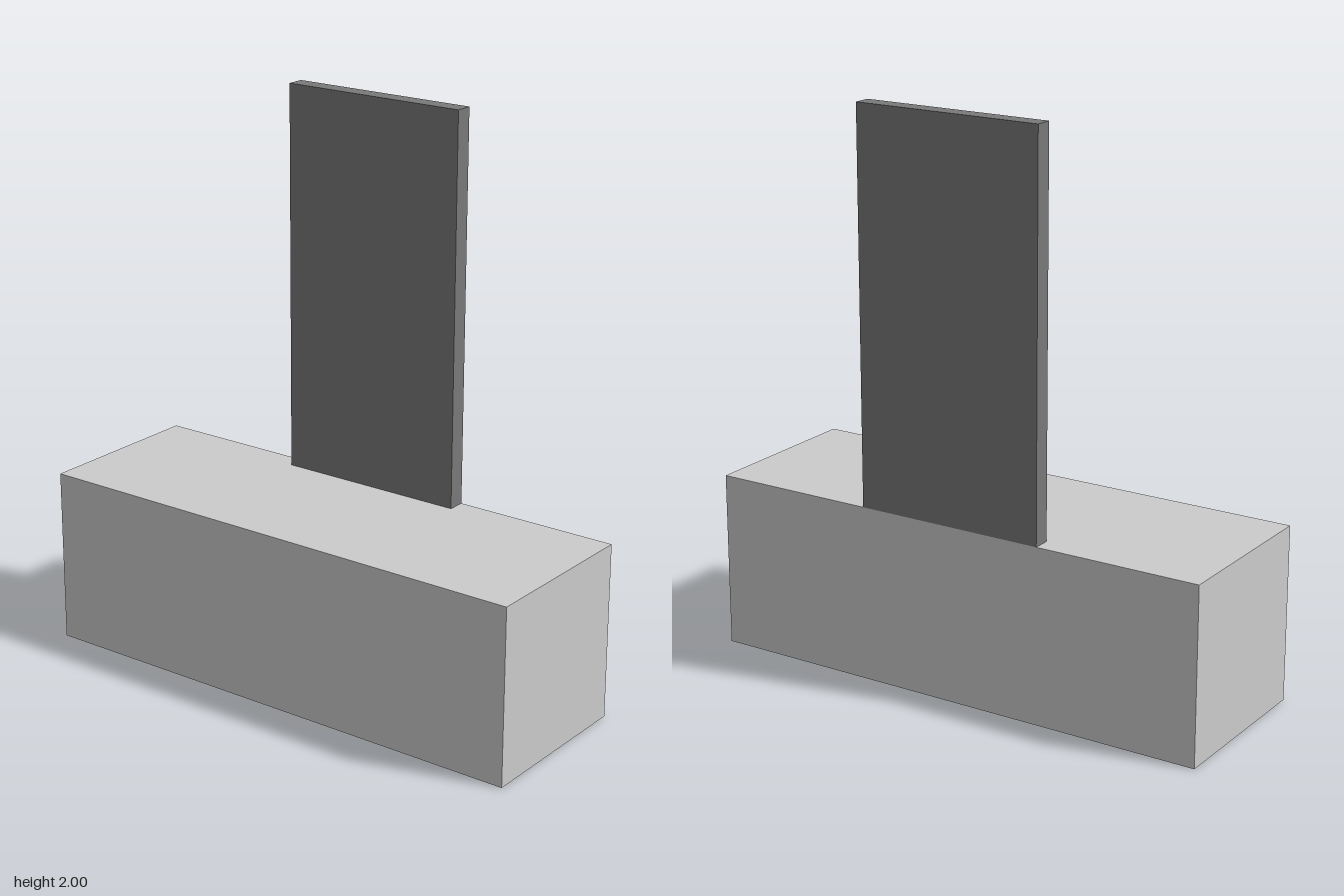
import * as THREE from 'three';

// Box standing on a given height
function block(name, color, [w, h, d], x, bottom) {
  const mesh = new THREE.Mesh(
    new THREE.BoxGeometry(w, h, d),
    new THREE.MeshStandardMaterial({ color })
  );
  mesh.name = name;
  mesh.position.set(x, bottom + h / 2, 0);
  return mesh;
}

export function createModel() {
  const W = 0.625, H = 0.625, L = 1.875; // base block
  const T = 0.0625;                      // panel thickness
  const group = new THREE.Group();
  group.name = 'blockWithPanel';

  // Long block on the ground
  group.add(block('base', 0xcccccc, [W, H, L], 0, 0));

  // Dark upright panel, flush with the left face of the base
  group.add(block('uprightPanel', 0x797979, [T, 2 - H, 0.6875], (W - T) / 2, H));

  return group;
}
